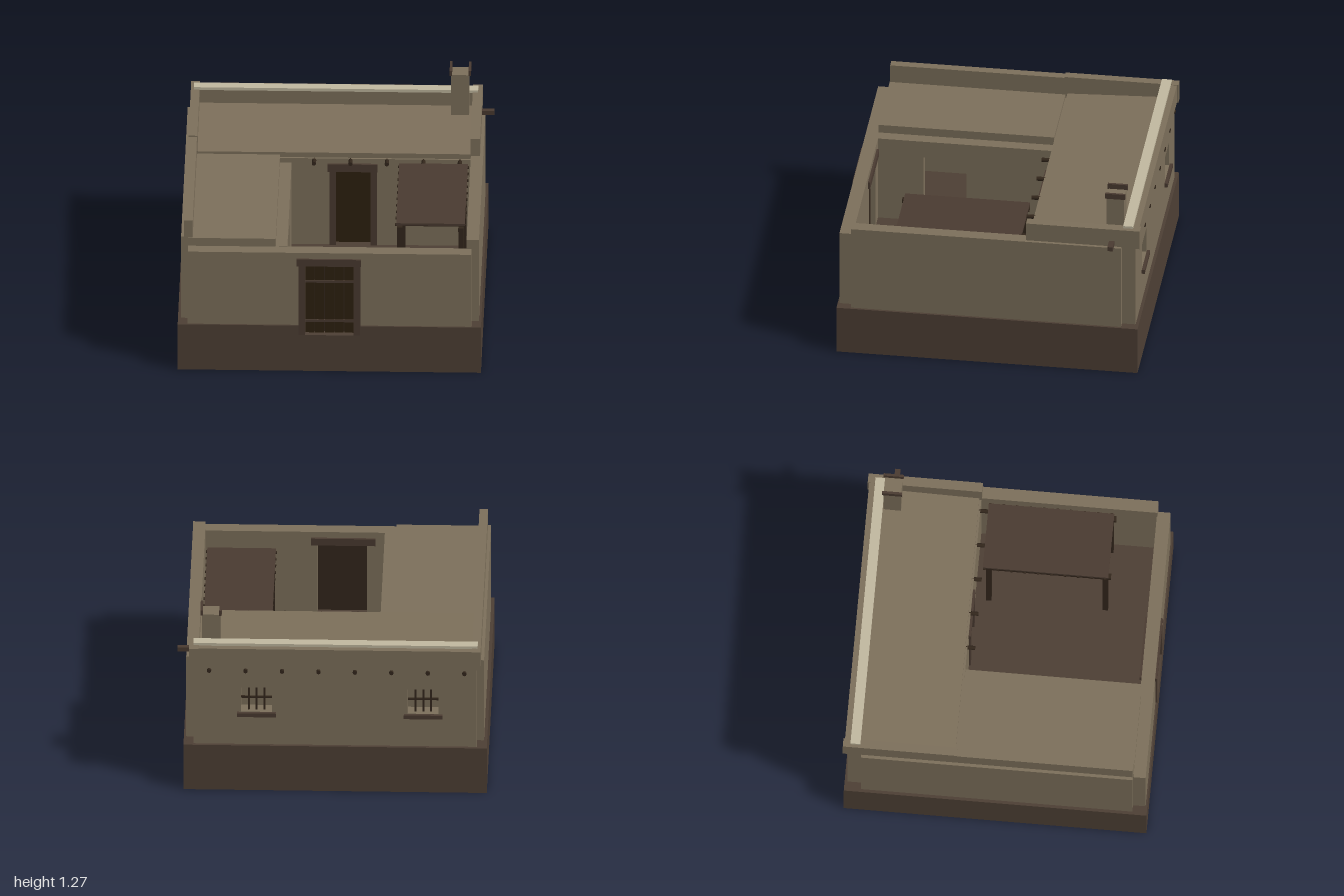
import * as THREE from 'three';

const mat = (name, color) => {
  const m = new THREE.MeshStandardMaterial({ color });
  m.name = name;
  return m;
};

export function createModel() {
  const adobe = mat('adobe', 0x7d705b);
  const earth = mat('earth', 0x4e4035);
  const timber = mat('timber', 0x4a3b31);
  const darkWood = mat('dark wood', 0x2d210f);
  const poleWood = mat('pole wood', 0x33271c);
  const lime = mat('lime cap', 0xc2b9a0);

  const model = new THREE.Group();
  model.name = 'courtyardHouse';

  // Box from its extents on each axis
  const box = (name, m, [x0, x1], [y0, y1], [z0, z1]) => {
    const mesh = new THREE.Mesh(new THREE.BoxGeometry(x1 - x0, y1 - y0, z1 - z0), m);
    mesh.position.set((x0 + x1) / 2, (y0 + y1) / 2, (z0 + z1) / 2);
    mesh.name = name;
    model.add(mesh);
    return mesh;
  };

  // Wall running along an axis, split around openings {a, b, bottom, top}
  const wall = (name, axis, [s, e], [y0, y1], across, openings = []) => {
    const part = (a, b, lo, hi) => {
      if (b - a < 0.001 || hi - lo < 0.001) return;
      if (axis === 'x') box(name, adobe, [a, b], [lo, hi], across);
      else box(name, adobe, across, [lo, hi], [a, b]);
    };
    let at = s;
    for (const o of openings) {
      part(at, o.a, y0, y1);
      part(o.a, o.b, y0, o.bottom);
      part(o.a, o.b, o.top, y1);
      at = o.b;
    }
    part(at, e, y0, y1);
  };

  const FLOOR = 0.262;

  // Ground slab and the raised plinth rim, open at the gate
  box('groundSlab', earth, [-1, 0.955], [0, FLOOR], [-0.975, 0.983]);
  box('plinthLeft', earth, [-1, -0.975], [FLOOR, 0.33], [-0.975, 0.983]);
  box('plinthRight', earth, [0.935, 0.955], [FLOOR, 0.33], [-0.975, 0.983]);
  box('plinthBack', earth, [-0.975, 0.935], [FLOOR, 0.33], [-0.975, -0.95]);
  box('plinthFrontLeft', earth, [-0.975, -0.22], [FLOOR, 0.33], [0.965, 0.983]);
  box('plinthFrontRight', earth, [0.175, 0.935], [FLOOR, 0.33], [0.965, 0.983]);
  for (const x of [[-0.976, -0.934], [0.889, 0.936]])
    for (const z of [[-0.951, -0.864], [0.889, 0.966]])
      box('plinthCorner', earth, x, [FLOOR, 0.328], z);

  // Outer walls
  const rearWindows = [
    { a: -0.69, b: -0.49, bottom: 0.57, top: 0.75 },
    { a: 0.385, b: 0.585, bottom: 0.57, top: 0.75 },
  ];
  wall('leftWall', 'z', [-0.865, 0.89], [FLOOR, 0.922], [-0.98, -0.905]);
  wall('rightWall', 'z', [-0.865, 0.89], [FLOOR, 0.922], [0.86, 0.94]);
  wall('backWall', 'x', [-0.935, 0.892], [FLOOR, 0.92], [-0.955, -0.865], rearWindows);
  wall('frontWall', 'x', [-0.935, 0.892], [FLOOR, 0.857], [0.885, 0.972],
    [{ a: -0.18, b: 0.138, bottom: FLOOR, top: 0.79 }]);

  // Courtyard walls with doorways
  wall('wingWall', 'z', [-0.25, 0.885], [FLOOR, 0.858], [-0.37, -0.295],
    [{ a: 0.31, b: 0.59, bottom: FLOOR, top: 0.74 }]);
  wall('rearRoomWall', 'x', [-0.905, 0.86], [FLOOR, 0.89], [-0.33, -0.25],
    [{ a: -0.03, b: 0.235, bottom: FLOOR, top: 0.8 }]);

  // Roofs: flat over the side wing, gently sloped over the rear rooms
  box('wingRoof', adobe, [-0.935, -0.37], [0.858, 0.915], [-0.25, 0.893]);
  const roof = box('rearRoof', adobe, [-0.908, 0.862], [0.88, 0.925], [-0.878, -0.263]);
  const p = roof.geometry.attributes.position;
  for (let i = 0; i < p.count; i++)
    if (p.getY(i) > 0 && p.getZ(i) < 0) p.setY(i, p.getY(i) + 0.025);
  roof.geometry.computeVertexNormals();

  // Parapets and the pale cap along the back
  box('wingParapet', adobe, [-0.96, -0.905], [0.915, 1.04], [-0.245, 0.89]);
  box('rearParapetLeft', adobe, [-0.96, -0.903], [0.915, 1.048], [-0.985, -0.245]);
  box('rearParapetRight', adobe, [0.857, 0.92], [0.915, 1.048], [-0.985, -0.245]);
  box('backParapet', adobe, [-0.903, 0.857], [0.915, 1.045], [-0.975, -0.876]);
  box('parapetCap', lime, [-0.94, 0.892], [1.044, 1.064], [-0.937, -0.873]);

  // Gate: frame, planks and rails
  box('gateLintel', timber, [-0.235, 0.182], [0.765, 0.815], [0.87, 0.985]);
  box('gatePost', timber, [-0.222, -0.178], [FLOOR, 0.765], [0.955, 0.982]);
  box('gatePost', timber, [0.134, 0.178], [FLOOR, 0.765], [0.955, 0.982]);
  for (let i = 0; i < 5; i++) {
    const x = -0.178 + i * 0.063;
    box('gatePlank', darkWood, [x, x + 0.058], [FLOOR, 0.765], [0.925, 0.945]);
  }
  box('gateBacking', poleWood, [-0.178, 0.136], [FLOOR, 0.765], [0.918, 0.928]);
  for (const y of [0.35, 0.637])
    box('gateRail', timber, [-0.178, 0.136], [y - 0.008, y + 0.008], [0.94, 0.952]);

  // Rear room door frame
  box('doorLintel', timber, [-0.065, 0.258], [0.8, 0.855], [-0.33, -0.235]);
  for (const x of [-0.05, 0.215])
    box('doorPost', timber, [x, x + 0.04], [FLOOR, 0.8], [-0.3, -0.238]);
  box('doorLeaf', darkWood, [-0.01, 0.215], [FLOOR, 0.8], [-0.3, -0.285]);

  // Barred rear windows with sills
  for (const w of rearWindows) {
    box('windowSill', timber, [w.a - 0.025, w.b + 0.025], [0.54, 0.568], [-0.975, -0.9]);
    for (let i = 1; i <= 3; i++) {
      const x = w.a + (w.b - w.a) * i / 4;
      box('windowBar', poleWood, [x - 0.006, x + 0.006], [w.bottom, w.top], [-0.925, -0.913]);
    }
    box('windowCrossBar', poleWood, [w.a, w.b], [0.655, 0.667], [-0.925, -0.913]);
  }

  // Roof beam ends on the courtyard and back sides
  for (let i = 0; i < 8; i++) {
    const x = 0.79 - i * 0.235;
    const ends = [[-0.973, -0.94]];
    if (i < 5) ends.push([-0.26, -0.2]);
    for (const z of ends) {
      const beam = new THREE.Mesh(new THREE.CylinderGeometry(0.014, 0.014, z[1] - z[0], 8), poleWood);
      beam.rotation.x = Math.PI / 2;
      beam.position.set(x, 0.877, (z[0] + z[1]) / 2);
      beam.name = 'beamEnd';
      model.add(beam);
    }
  }

  // Shade shelter in the courtyard
  box('shelterRoof', timber, [0.4, 0.842], [0.872, 0.888], [-0.2, 0.612]);
  for (let i = 0; i < 10; i++) {
    const z = -0.19 + i * 0.087;
    box('shelterPole', poleWood, [0.393, 0.85], [0.862, 0.874], [z - 0.008, z + 0.008]);
  }
  for (const x of [0.405, 0.8])
    box('shelterBeam', poleWood, [x, x + 0.035], [0.838, 0.864], [-0.2, 0.628]);
  for (const x of [0.405, 0.8])
    for (const z of [-0.18, 0.575])
      box('shelterPost', poleWood, [x, x + 0.035], [FLOOR, 0.84], [z, z + 0.035]);

  // Chimney and water spout
  box('chimney', adobe, [0.72, 0.837], [0.93, 1.237], [-0.87, -0.757]);
  for (const x of [0.711, 0.833])
    box('chimneyCap', timber, [x, x + 0.016], [1.235, 1.272], [-0.88, -0.75]);
  box('waterSpout', timber, [0.9, 0.998], [0.932, 0.962], [-0.82, -0.785]);

  return model;
}
